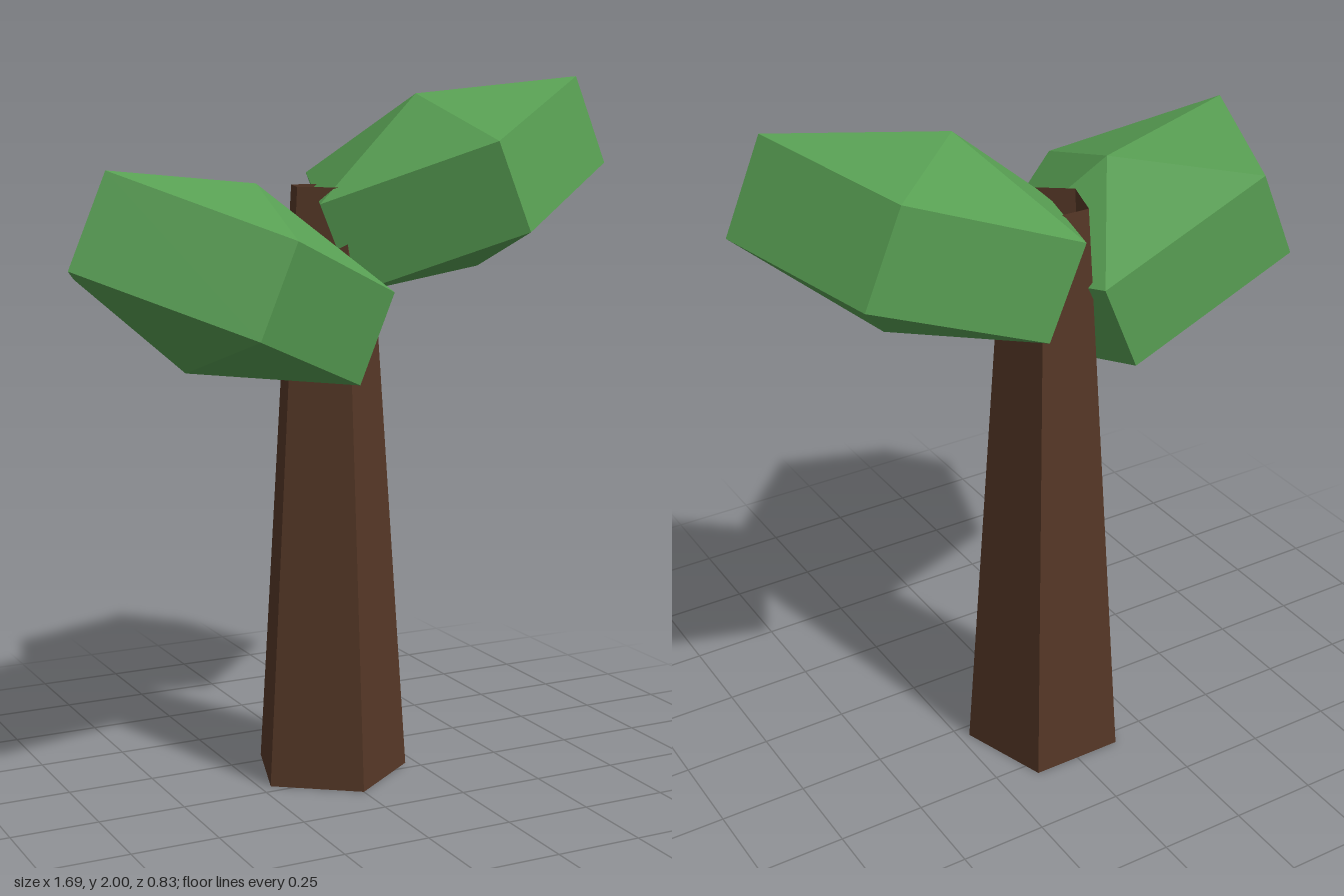
import * as THREE from 'three';

const bark = new THREE.MeshStandardMaterial({ name: 'bark brown', color: 0x553726, flatShading: true, side: THREE.DoubleSide });
const leaf = new THREE.MeshStandardMaterial({ name: 'leaf green', color: 0x589f53, flatShading: true });

// Five-sided faceted clump: squashed low-poly sphere with one corner facing +z
function makeFoliage(name, x, y, z, tilt) {
  const geometry = new THREE.SphereGeometry(1, 5, 3, Math.PI / 2);
  geometry.scale(0.539, 0.269, 0.434);
  const mesh = new THREE.Mesh(geometry, leaf);
  mesh.name = name;
  mesh.position.set(x, y, z);
  mesh.rotation.z = tilt;
  return mesh;
}

export function createModel() {
  const tree = new THREE.Group();
  tree.name = 'tree';

  // Hollow tapered trunk, open at both ends
  const trunk = new THREE.Mesh(new THREE.CylinderGeometry(0.116, 0.23, 1.7, 5, 1, true), bark);
  trunk.name = 'trunk';
  trunk.position.set(0, 0.85, -0.11);
  tree.add(trunk);

  // Two leaf clumps leaning away from each other
  const tilt = THREE.MathUtils.degToRad(22.8);
  tree.add(makeFoliage('leftFoliage', 0.385, 1.704, -0.116, tilt));
  tree.add(makeFoliage('rightFoliage', -0.387, 1.471, 0.036, -tilt));

  return tree;
}
